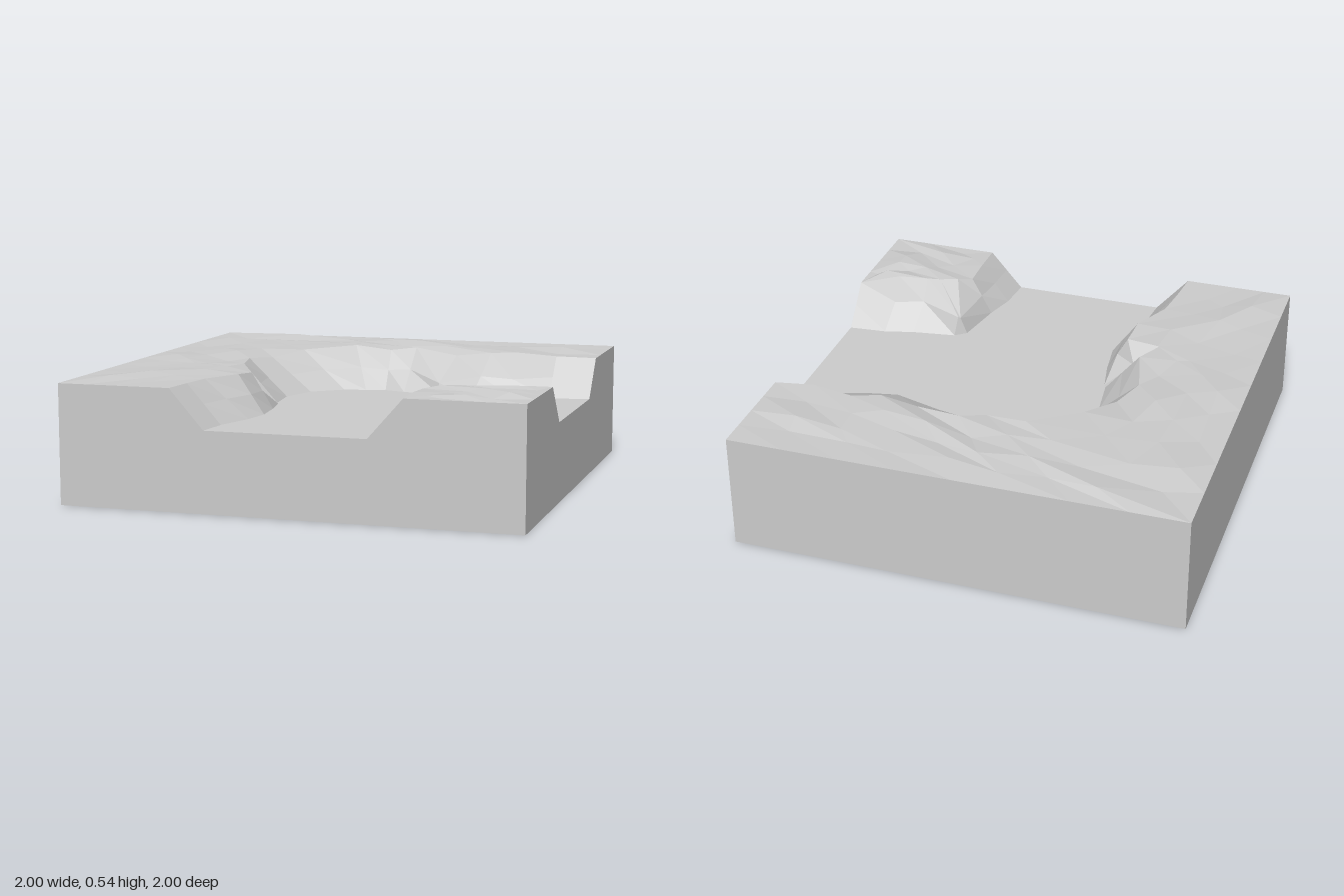
import * as THREE from 'three';

const TOP = 0.52, BED = 0.35;
const stone = new THREE.MeshStandardMaterial({ color: 0xcccccc });
stone.name = 'stone grey';

// Each station: rim [x, z, y?], foot [x, z], optional mid-bank ledge [x, y, z]
const outerBank = [
  [[-0.5, 1], [-0.35, 1]],
  [[-0.485, 0.84], [-0.335, 0.84]],
  [[-0.465, 0.69], [-0.28, 0.66]],
  [[-0.38, 0.51, 0.52], [-0.26, 0.52]],
  [[-0.37, 0.37, 0.51], [-0.28, 0.35]],
  [[-0.54, 0.35, 0.52], [-0.31, 0.2]],
  [[-0.47, 0.2, 0.525], [-0.32, 0.18]],
  [[-0.53, -0.03, 0.52], [-0.345, -0.02]],
  [[-0.47, -0.18, 0.508], [-0.29, -0.2]],
  [[-0.37, -0.34, 0.53], [-0.16, -0.31]],
  [[-0.16, -0.505, 0.54], [-0.06, -0.335]],
  [[0.02, -0.485, 0.525], [0.03, -0.355]],
  [[0.13, -0.54, 0.535], [0.13, -0.32]],
  [[0.34, -0.485, 0.51], [0.31, -0.29], [0.3, 0.4, -0.315]],
  [[0.51, -0.475, 0.53], [0.47, -0.26], [0.5, 0.44, -0.31]],
  [[0.63, -0.52, 0.53], [0.66, -0.275], [0.65, 0.43, -0.325]],
  [[0.82, -0.475, 0.525], [0.82, -0.315]],
  [[1, -0.5], [1, -0.35]],
];
const cornerBank = [
  [[1, 0.5], [1, 0.35]],
  [[0.84, 0.6, 0.53], [0.83, 0.365], [0.81, 0.465, 0.46]],
  [[0.7, 0.62, 0.53], [0.7, 0.4], [0.68, 0.465, 0.505]],
  [[0.64, 0.63, 0.53], [0.5, 0.43], [0.49, 0.435, 0.46]],
  [[0.56, 0.66, 0.53], [0.45, 0.47], [0.48, 0.43, 0.465]],
  [[0.5, 0.7, 0.52], [0.405, 0.7]],
  [[0.5, 0.84, 0.525], [0.365, 0.84]],
  [[0.5, 1], [0.35, 1]],
];
const cornerEdge = [[1, 0.5], [1, 0.62], [1, 0.75], [1, 0.87], [1, 1], [0.84, 1], [0.67, 1], [0.5, 1]];
// Tile edge runs up the left side, then along the back
const outerEdge = outerBank.map((_, i) => (i <= 9 ? [-1, 1 - (2 * i) / 9] : [-1 + (2 * (i - 9)) / 8, -1]));

let seed = 7;
const jitter = () => {
  seed = (seed * 16807) % 2147483647;
  return seed / 2147483647 - 0.5;
};

// Faceted surface through rows of points, all rows of equal length
function loft(rows) {
  const points = [];
  for (let r = 0; r + 1 < rows.length; r++) {
    for (let i = 0; i + 1 < rows[r].length; i++) {
      const a = rows[r][i], b = rows[r][i + 1], c = rows[r + 1][i + 1], d = rows[r + 1][i];
      points.push(a, b, d, b, c, d);
    }
  }
  const geometry = new THREE.BufferGeometry().setFromPoints(points);
  geometry.computeVertexNormals();
  return geometry;
}

export function createModel() {
  const model = new THREE.Group();
  const add = (geometry, name) => {
    const mesh = new THREE.Mesh(geometry, stone);
    mesh.name = name;
    model.add(mesh);
    return mesh;
  };

  // Sloping bank and the uneven ground behind it
  function terrain(stations, edge, steps, name) {
    const foot = stations.map(([, f]) => new THREE.Vector3(f[0], BED, f[1]));
    const rim = stations.map(([r]) => new THREE.Vector3(r[0], r[2] ?? TOP, r[1]));
    const mid = stations.map(([, , m], i) =>
      m ? new THREE.Vector3(...m) : foot[i].clone().lerp(rim[i], 0.5));
    add(loft([foot, mid, rim]), name + 'Bank');

    const ground = [rim];
    for (let s = 1; s <= steps; s++) {
      ground.push(edge.map(([x, z], i) => {
        const p = rim[i].clone().lerp(new THREE.Vector3(x, TOP, z), s / steps);
        if (s < steps && i > 0 && i < edge.length - 1) {
          p.x += jitter() * 0.05;
          p.z += jitter() * 0.05;
          p.y = TOP + 0.006 + jitter() * 0.024;
        }
        return p;
      }));
    }
    add(loft(ground), name + 'Ground');
  }
  terrain(outerBank, outerEdge, 4, 'outer');
  terrain(cornerBank, cornerEdge, 3, 'corner');

  // Flat channel bed between the two banks
  const outline = [...outerBank, ...cornerBank].map(([, f]) => new THREE.Vector2(f[0], -f[1]));
  const bed = add(new THREE.ShapeGeometry(new THREE.Shape(outline)), 'channelBed');
  bed.rotation.x = -Math.PI / 2;
  bed.position.y = BED;

  // Two walls cut through by the channel
  const cut = [[-1, 0], [1, 0], [1, TOP], [0.5, TOP], [0.35, BED], [-0.35, BED], [-0.5, TOP], [-1, TOP]];
  const cutWall = new THREE.ShapeGeometry(new THREE.Shape(cut.map(([x, y]) => new THREE.Vector2(x, y))));
  cutWall.translate(0, 0, 1);
  add(cutWall, 'frontWall');
  add(cutWall, 'channelSideWall').rotation.y = Math.PI / 2;

  // Two plain walls and the underside
  const plainWall = new THREE.PlaneGeometry(2, TOP).translate(0, TOP / 2, 1);
  add(plainWall, 'backWall').rotation.y = Math.PI;
  add(plainWall, 'plainSideWall').rotation.y = -Math.PI / 2;
  add(new THREE.PlaneGeometry(2, 2), 'underside').rotation.x = Math.PI / 2;

  return model;
}
